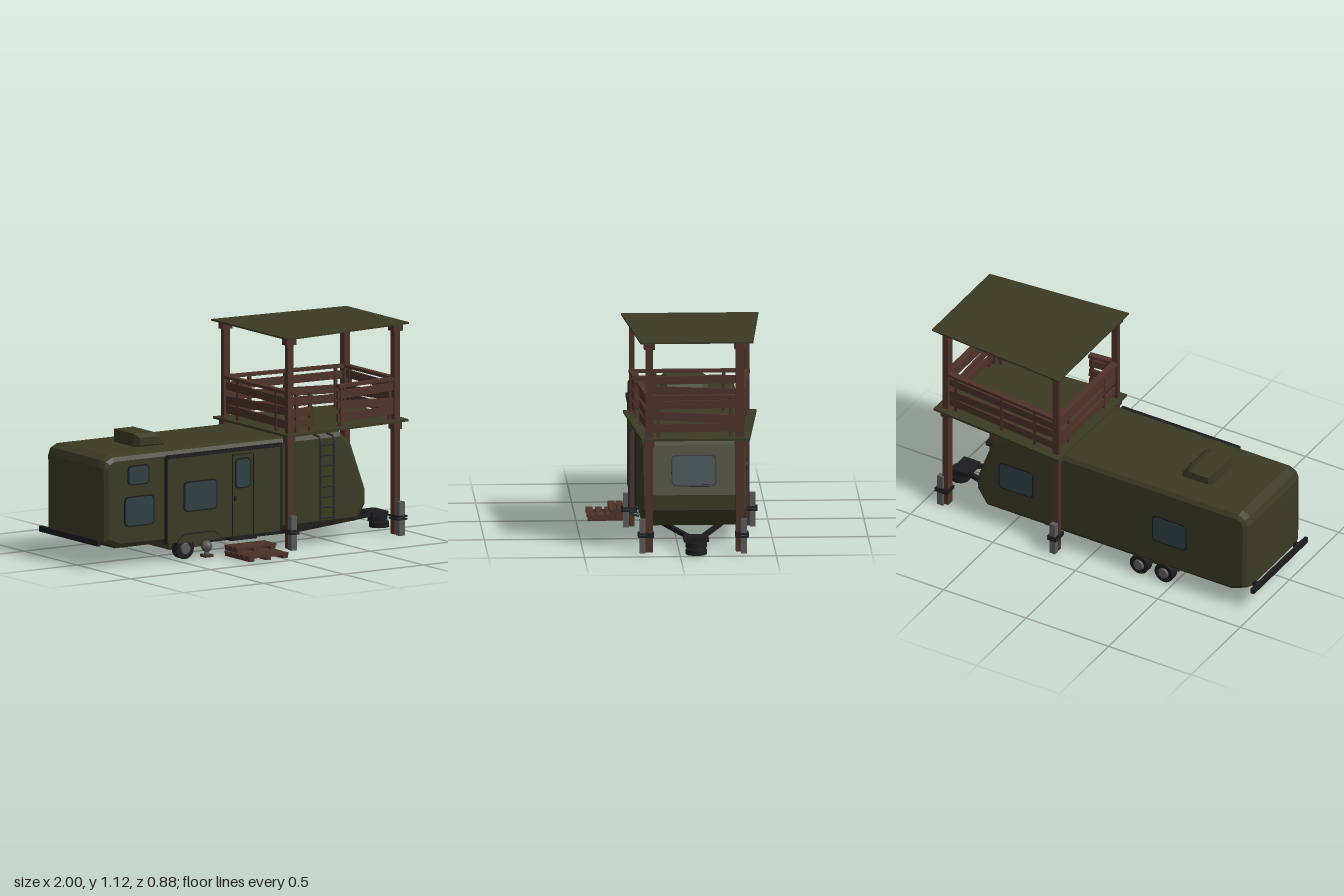
import * as THREE from 'three';

const mat = (name, color) => Object.assign(new THREE.MeshStandardMaterial({ color }), { name });

export function createModel() {
  const olive = mat('olive paint', 0x3a3a23), wood = mat('brown wood', 0x4e3229);
  const dark = mat('black metal', 0x1c1c1e), glass = mat('window glass', 0x2f4044);
  const steel = mat('grey steel', 0x5a5a5a), iron = mat('ladder iron', 0x2b2d33);
  const root = new THREE.Group();
  root.name = 'trailerWithLookout';

  const add = (name, geo, m, x = 0, y = 0, z = 0) => {
    const mesh = new THREE.Mesh(geo, m);
    mesh.name = name;
    mesh.position.set(x, y, z);
    root.add(mesh);
    return mesh;
  };
  const box = (name, m, w, h, d, x, y, z) => add(name, new THREE.BoxGeometry(w, h, d), m, x, y, z);
  // Straight board between two points
  const beam = (name, m, a, b, h, t) => {
    const p = new THREE.Vector3(...a), q = new THREE.Vector3(...b);
    const mesh = add(name, new THREE.BoxGeometry(t, h, p.distanceTo(q)), m);
    mesh.position.copy(p).add(q).multiplyScalar(0.5);
    mesh.lookAt(q);
    return mesh;
  };
  const outline = pts => new THREE.Shape(pts.map(p => new THREE.Vector2(...p)));
  const prism = (pts, depth) => new THREE.ExtrudeGeometry(outline(pts), { depth, bevelEnabled: false });

  // Trailer shell: side profile with softened long edges
  const shell = new THREE.ExtrudeGeometry(outline([
    [-0.86, 0.095], [0.63, 0.095], [0.69, 0.185], [0.69, 0.265], [0.6, 0.515], [0.53, 0.59],
    [-0.9, 0.592], [-0.945, 0.57], [-0.96, 0.53], [-0.957, 0.135],
  ]), { depth: 0.45, bevelThickness: 0.05, bevelSize: 0.03, bevelOffset: -0.03, bevelSegments: 2 });
  add('trailerBody', shell, olive, 0, 0, -0.31);

  // Slide-out wall with trim and awning case
  box('slideOut', olive, 0.715, 0.46, 0.06, -0.2175, 0.33, 0.175);
  box('awningCase', dark, 0.715, 0.018, 0.02, -0.2175, 0.557, 0.207);
  for (const x of [-0.575, 0.14]) box('slideTrim', dark, 0.01, 0.46, 0.025, x, 0.33, 0.196);
  // Door outline
  for (const x of [-0.165, -0.035]) box('doorEdge', dark, 0.004, 0.43, 0.004, x, 0.315, 0.206);
  box('doorTop', dark, 0.13, 0.004, 0.004, -0.1, 0.53, 0.206);
  box('doorHandle', dark, 0.01, 0.025, 0.008, -0.15, 0.3, 0.208);

  // Rounded windows with thin frames
  const roundRect = (w, h, r) => {
    const s = new THREE.Shape(), a = w / 2, b = h / 2;
    s.absarc(a - r, b - r, r, 0, Math.PI / 2);
    s.absarc(r - a, b - r, r, Math.PI / 2, Math.PI);
    s.absarc(r - a, r - b, r, Math.PI, Math.PI * 1.5);
    s.absarc(a - r, r - b, r, Math.PI * 1.5, Math.PI * 2);
    return s;
  };
  const plate = (w, h, r, depth) =>
    new THREE.ExtrudeGeometry(roundRect(w, h, r), { depth, bevelEnabled: false, curveSegments: 4 });
  const windowAt = (w, h, x, y, z, ry = 0, rz = 0) => {
    for (const [name, m, g, d] of [['windowFrame', dark, 0, 0.006], ['windowPane', glass, 0.014, 0.008]]) {
      const p = add(name, plate(w - g, h - g, 0.025 - g / 3, d), m, x, y, z);
      p.rotation.set(0, ry, rz, 'ZYX');
    }
  };
  windowAt(0.135, 0.105, -0.745, 0.48, 0.19);
  windowAt(0.185, 0.16, -0.74, 0.29, 0.19);
  windowAt(0.21, 0.16, -0.368, 0.337, 0.205);
  windowAt(0.098, 0.16, -0.102, 0.43, 0.205);
  windowAt(0.21, 0.16, 0.44, 0.333, -0.36, Math.PI);
  windowAt(0.21, 0.16, -0.49, 0.333, -0.36, Math.PI);
  windowAt(0.235, 0.165, 0.647, 0.386, -0.085, Math.PI / 2, 0.345);

  // Roof cooler
  add('roofUnit', new THREE.ExtrudeGeometry(outline([
    [-0.65, 0.58], [-0.455, 0.58], [-0.465, 0.61], [-0.5, 0.65], [-0.53, 0.66], [-0.65, 0.66],
  ]), { depth: 0.185, bevelThickness: 0.03, bevelSize: 0.02, bevelOffset: -0.02, bevelSegments: 1 }), olive, 0, 0, -0.18);

  // Rear bumper
  box('bumper', dark, 0.02, 0.03, 0.55, -0.99, 0.14, -0.085);
  for (const z of [-0.29, 0.12]) box('bumperArm', dark, 0.05, 0.02, 0.025, -0.965, 0.14, z);

  // Wheels; one is off, its hub resting on a block
  const wheel = (x, z, side) => {
    const t = add('tyre', new THREE.CylinderGeometry(0.055, 0.055, 0.045, 20), dark, x, 0.06, z);
    const h = add('wheelHub', new THREE.CylinderGeometry(0.027, 0.032, 0.012, 14), steel, x, 0.06, z + side * 0.026);
    t.rotation.x = Math.PI / 2;
    h.rotation.x = side * Math.PI / 2;
  };
  wheel(-0.45, 0.165, 1);
  wheel(-0.45, -0.335, -1);
  wheel(-0.3, -0.335, -1);
  add('bareHub', new THREE.SphereGeometry(0.03, 14, 10), steel, -0.3, 0.055, 0.165);
  add('hubJack', new THREE.CylinderGeometry(0.01, 0.016, 0.03, 10), steel, -0.3, 0.022, 0.165);
  box('hubBlock', wood, 0.05, 0.014, 0.05, -0.3, 0.007, 0.165);
  for (const x of [-0.45, -0.3])
    add('axle', new THREE.CylinderGeometry(0.012, 0.012, 0.48, 10), dark, x, 0.06, -0.085).rotation.x = Math.PI / 2;
  box('wheelWell', olive, 0.26, 0.05, 0.42, -0.375, 0.075, -0.085);
  const arch = (g, z, m) => add('wheelArch', prism([
    [-0.51 - g, 0.095], [-0.24 + g, 0.095], [-0.255 + g, 0.12], [-0.285 + g, 0.138 + g], [-0.465 - g, 0.138 + g], [-0.495 - g, 0.12],
  ], 0.008), m, 0, 0, z);
  arch(0.005, 0.199, dark);
  arch(0, 0.203, olive);

  // Chassis rails, drawbar and coupler
  for (const s of [-1, 1]) {
    const z = -0.085 + s * 0.21;
    beam('chassisRail', dark, [-0.25, 0.08, z], [0.3, 0.08, z], 0.022, 0.022);
    beam('drawbar', dark, [0.3, 0.08, z], [0.95, 0.08, -0.085 + s * 0.015], 0.022, 0.022);
  }
  box('coupler', dark, 0.1, 0.025, 0.13, 0.91, 0.08, -0.085);
  for (const [x, y] of [[0.945, 0.016], [0.935, 0.05]])
    add('spareTyre', new THREE.CylinderGeometry(0.055, 0.055, 0.028, 10), dark, x, y, -0.085);

  // Fold-out step and pallet steps
  box('doorStep', dark, 0.16, 0.014, 0.05, -0.11, 0.088, 0.205);
  const pallet = (y, z0, z1, slats) => {
    for (const x of [-0.2, -0.095, 0.01])
      box('palletStringer', wood, 0.03, 0.016, z1 - z0, x, y + 0.008, (z0 + z1) / 2);
    for (let i = 0; i < slats; i++)
      box('palletSlat', wood, 0.25, 0.012, 0.035, -0.095, y + 0.022, z0 + 0.0175 + (z1 - z0 - 0.035) * i / (slats - 1));
  };
  pallet(0.003, 0.21, 0.44, 5);
  pallet(0.034, 0.21, 0.325, 3);

  // Lookout posts with stakes, straps and caps: x, z, width, depth, stake x, stake z
  const posts = [
    [0.182, 0.217, 0.036, 0.027, 0.182, 0.248], [0.885, 0.158, 0.034, 0.038, 0.895, 0.192],
    [0.885, -0.315, 0.034, 0.042, 0.91, -0.335], [0.182, -0.382, 0.036, 0.027, 0.182, -0.413],
  ];
  for (const [x, z, w, d, sx, sz] of posts) {
    box('post', wood, w, 1.11, d, x, 0.56, z);
    box('stake', steel, 0.034, 0.18, 0.03, sx, 0.09, sz);
    for (const y of [0.089, 0.103])
      box('strap', dark, w + 0.018 + Math.abs(sx - x), 0.009, Math.abs(sz - z) + 0.05, (x + sx) / 2, y, (z + sz) / 2);
    box('postCap', wood, w + 0.022, 0.036, d + 0.018, x, 1.098, z);
    box('deckBracket', wood, w + 0.016, 0.04, d + 0.014, x, 0.58, z);
  }

  // Canopy and deck sheets
  const sheet = (name, pts, y, t) =>
    add(name, prism(pts.map(([x, z]) => [x, -z]), t), olive, 0, y, 0).rotation.x = -Math.PI / 2;
  sheet('canopy', [[0.135, -0.445], [0.135, 0.272], [0.94, 0.205], [0.94, -0.382]], 1.116, 0.009);
  sheet('deck', [[0.14, -0.435], [0.14, 0.262], [0.94, 0.2], [0.94, -0.365]], 0.6, 0.012);

  // Railings: uneven boards, top rail and uprights; the ladder gap stays open
  const rail = (a, b, tilt, uprights) => {
    const at = (t, y) => [a[0] + (b[0] - a[0]) * t, y, a[1] + (b[1] - a[1]) * t];
    beam('lowBoard', wood, at(0, 0.658), at(1, 0.658 - tilt * 0.3), 0.044, 0.012);
    beam('midBoard', wood, at(0, 0.715 - tilt), at(1, 0.715 + tilt), 0.044, 0.012);
    beam('highBoard', wood, at(0, 0.78), at(1, 0.78 - tilt * 0.5), 0.042, 0.012);
    beam('topRail', wood, at(0, 0.826), at(1, 0.826), 0.016, 0.035);
    for (const t of uprights) {
      const [x, y, z] = at(t, 0.715);
      box('upright', wood, 0.016, 0.22, 0.016, x, y, z);
    }
  };
  const [A, B, C, D] = posts;
  const frontZ = x => A[1] + (B[1] - A[1]) * (x - A[0]) / (B[0] - A[0]);
  rail(A, [0.335, frontZ(0.335)], 0.004, [0.3, 0.9]);
  rail([0.5, frontZ(0.5)], B, -0.012, [0.06, 0.9]);
  rail(B, C, -0.014, [0.1, 0.9]);
  rail(C, D, 0.01, [0.08, 0.5, 0.8]);
  rail(D, A, 0.012, [0.2, 0.8]);

  // Ladder with hooked ends
  for (const x of [0.363, 0.447]) {
    const path = new THREE.CatmullRomCurve3([[0.11, 0.19], [0.12, 0.228], [0.15, 0.24], [0.35, 0.24], [0.54, 0.24], [0.575, 0.228], [0.583, 0.17]]
      .map(([y, z]) => new THREE.Vector3(x, y, z)), false, 'catmullrom', 0.3);
    add('ladderRail', new THREE.TubeGeometry(path, 30, 0.006, 6), iron);
  }
  for (let i = 0; i < 8; i++)
    add('ladderRung', new THREE.CylinderGeometry(0.005, 0.005, 0.084, 6), iron, 0.405, 0.15 + i * 0.055, 0.24).rotation.z = Math.PI / 2;

  return root;
}
